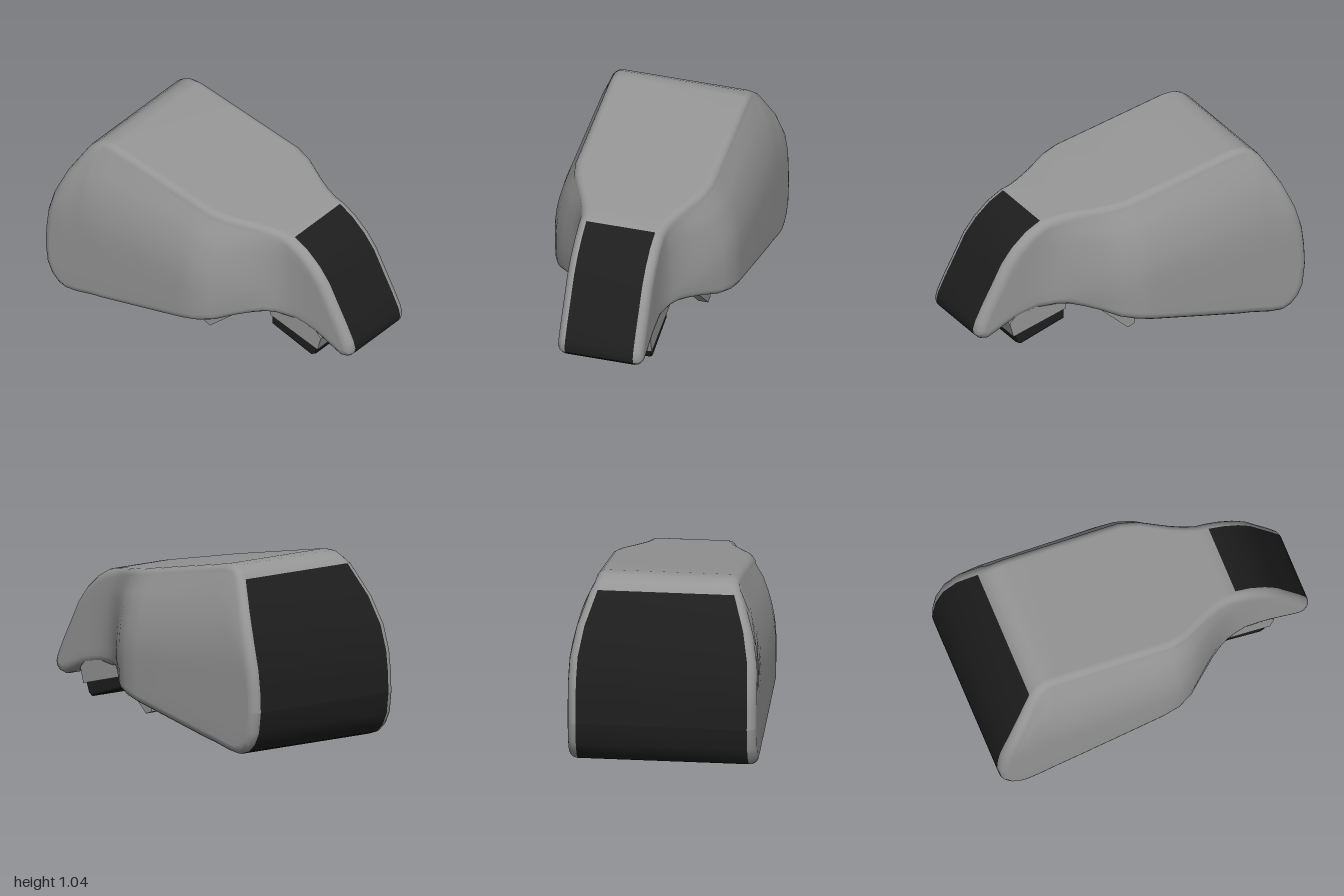
import * as THREE from 'three';

const shell = new THREE.MeshStandardMaterial({ color: 0x969696 });
shell.name = 'grey shell';
const dark = new THREE.MeshStandardMaterial({ color: 0x1e1e1e });
dark.name = 'black panel';

// Stations along the body: top x, top y, bottom x, bottom y
const stations = [
  [-1, .26, -1, .26], [-.995, .38, -.985, .14], [-.98, .5, -.95, .07], [-.94, .64, -.9, .025],
  [-.87, .8, -.84, .005], [-.765, .98, -.76, .015], [-.72, 1.02, -.7, .03], [-.67, 1.045, -.64, .045],
  [-.6, 1.047, -.56, .06], [-.3, .995, -.3, .12], [0, .943, 0, .19], [.1, .926, .1, .215],
  [.2, .909, .19, .24], [.28, .895, .28, .275], [.36, .882, .36, .295], [.43, .87, .42, .305],
  [.5, .858, .48, .305], [.56, .846, .54, .3], [.65, .8, .6, .3], [.74, .725, .67, .29],
  [.81, .64, .74, .275], [.87, .53, .8, .25], [.94, .405, .87, .22], [.985, .315, .92, .2],
  [.998, .27, .965, .21], [.99, .235, .99, .235],
];

// Linear lookup in a list of [x, value]
function lookup(table, x) {
  if (x <= table[0][0]) return table[0][1];
  for (let i = 1; i < table.length; i++) {
    const [x0, a] = table[i - 1], [x1, b] = table[i];
    if (x <= x1) return a + (b - a) * (x - x0) / (x1 - x0);
  }
  return table[table.length - 1][1];
}
const lowWidth = [[0, .535], [.1, .525], [.2, .485], [.3, .405], [.4, .325], [.5, .27], [.6, .25]];
const topWidth = [[.1, .41], [.2, .385], [.3, .335], [.4, .285], [.5, .255], [.6, .25]];

// Half width of the body: full low down, leaning inwards towards the top
function halfWidth(x, y) {
  const v = y * 1.05 / (1.05 - (x + .62) * .171);
  const s = THREE.MathUtils.clamp((v - .52) / .5, 0, 1) ** 1.8;
  return THREE.MathUtils.lerp(lookup(lowWidth, x), lookup(topWidth, x), s);
}

function buildBody() {
  const r = .05, bevel = 4, inner = 8, last = stations.length - 1;
  const top = stations.map(s => new THREE.Vector2(s[0], s[1]));
  const bottom = stations.map(s => new THREE.Vector2(s[2], s[3]));
  // Outward normal of the side outline, walking clockwise
  const outward = (a, b) => new THREE.Vector2(-(b.y - a.y), b.x - a.x).normalize();
  const positions = [];
  let n = 0;
  for (let i = 0; i <= last; i++) {
    const nt = outward(i ? top[i - 1] : bottom[1], i < last ? top[i + 1] : bottom[last - 1]);
    const nb = outward(i < last ? bottom[i + 1] : top[last - 1], i ? bottom[i - 1] : top[1]);
    const half = [];
    const rounded = (p, normal, k) => {
      const a = k / bevel * Math.PI / 2;
      const q = p.clone().addScaledVector(normal, -r * (1 - Math.cos(a)));
      half.push([q.x, q.y, halfWidth(p.x, p.y) - r * (1 - Math.sin(a))]);
    };
    const lo = bottom[i].clone().addScaledVector(nb, -r);
    const hi = top[i].clone().addScaledVector(nt, -r);
    for (let k = 0; k < bevel; k++) rounded(bottom[i], nb, k);
    for (let k = 0; k <= inner; k++) {
      const p = lo.clone().lerp(hi, k / inner);
      // blend into the widths used by the rounded edges
      const wl = halfWidth(bottom[i].x, bottom[i].y), wh = halfWidth(top[i].x, top[i].y);
      const w = k === 0 ? wl : k === inner ? wh : halfWidth(p.x, p.y);
      half.push([p.x, p.y, w]);
    }
    for (let k = bevel - 1; k >= 0; k--) rounded(top[i], nt, k);
    n = half.length;
    half.forEach(p => positions.push(...p));
    half.reverse().forEach(p => positions.push(p[0], p[1], -p[2]));
  }
  // Back, underside and nose strips are black, the rest grey
  const ring = 2 * n, grey = [], black = [];
  for (let i = 0; i < last; i++) {
    for (let j = 0; j < ring; j++) {
      const j2 = (j + 1) % ring;
      const a = i * ring + j, b = a + ring, d = i * ring + j2, c = d + ring;
      const onTop = j === n - 1 && (i < 5 || i >= 17);
      const onBottom = j === ring - 1 && (i < 12 || i >= 23);
      (onTop || onBottom ? black : grey).push(a, b, c, a, c, d);
    }
  }
  const g = new THREE.BufferGeometry();
  g.setAttribute('position', new THREE.Float32BufferAttribute(positions, 3));
  g.setIndex([...grey, ...black]);
  g.addGroup(0, grey.length, 0);
  g.addGroup(grey.length, black.length, 1);
  g.computeVertexNormals();
  return new THREE.Mesh(g, [shell, dark]);
}

// Side-view outline extruded to a given depth, centred on z
function plate(name, points, depth, z, material, bevel = 0) {
  const shape = new THREE.Shape(points.map(p => new THREE.Vector2(...p)));
  const g = new THREE.ExtrudeGeometry(shape, {
    depth: depth - 2 * bevel, bevelEnabled: bevel > 0, bevelSize: bevel, bevelThickness: bevel,
    bevelOffset: -bevel, bevelSegments: 2,
  });
  g.translate(0, 0, z - depth / 2 + bevel);
  const mesh = new THREE.Mesh(g, material);
  mesh.name = name;
  return mesh;
}

export function createModel() {
  const model = new THREE.Group();
  model.name = 'model';
  const body = buildBody();
  body.name = 'body';
  model.add(body);

  // Tilted block under the nose with a black pad
  model.add(plate('noseBlock', [[.41, .255], [.755, .17], [.78, .26], [.7, .34], [.42, .34]], .48, 0, shell));
  model.add(plate('nosePad', [[.415, .27], [.415, .185], [.7, .1], [.725, .115], [.75, .185]], .46, 0, dark, .015));

  // Pair of triangular fins under the shoulders
  for (const side of [1, -1]) {
    const name = side > 0 ? 'leftFin' : 'rightFin';
    model.add(plate(name, [[.04, .24], [.04, .115], [.085, .1], [.28, .28], [.2, .3]], .058, side * .343, shell));
  }
  return model;
}
